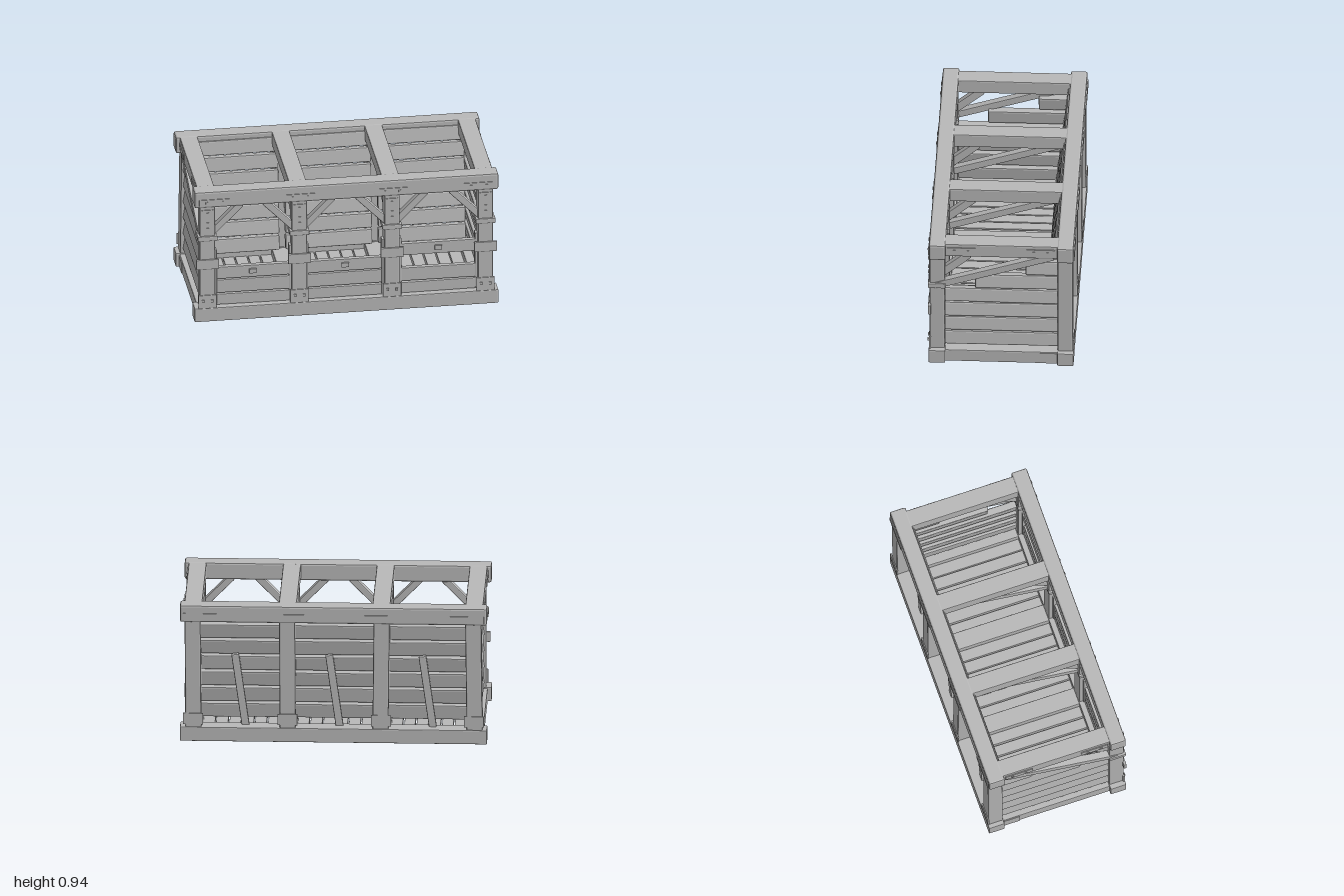
import * as THREE from 'three';
import { RoundedBoxGeometry } from 'three/addons/geometries/RoundedBoxGeometry.js';

export function createModel() {
  const model = new THREE.Group();
  model.name = 'woodenStall';
  const wood = new THREE.MeshStandardMaterial({ color: 0xb8b8b8 });
  wood.name = 'grey wood';

  // small seeded jitter in -1..1
  let seed = 7;
  const jitter = () => {
    seed = (seed * 16807) % 2147483647;
    return (seed / 2147483647) * 2 - 1;
  };

  const add = (name, geo, x, y, z) => {
    const mesh = new THREE.Mesh(geo, wood);
    mesh.name = name;
    mesh.position.set(x, y, z);
    model.add(mesh);
    return mesh;
  };
  // timber with chamfered edges
  const timber = (name, w, h, d, x, y, z, bevel = 0.008) => {
    const geo = new RoundedBoxGeometry(w, h, d, 1, Math.min(bevel, w / 3, h / 3, d / 3));
    geo.computeVertexNormals();
    return add(name, geo, x, y, z);
  };
  // timber given by its x, y and z ranges
  const span = (name, x0, x1, y0, y1, z0, z1, bevel) =>
    timber(name, x1 - x0, y1 - y0, z1 - z0, (x0 + x1) / 2, (y0 + y1) / 2, (z0 + z1) / 2, bevel);
  const plate = (name, w, h, d, x, y, z) => add(name, new THREE.BoxGeometry(w, h, d), x, y, z);
  // timber laid between two points
  const brace = (name, a, b, w, d) => {
    const from = new THREE.Vector3(...a), to = new THREE.Vector3(...b);
    const dir = to.clone().sub(from);
    const mid = from.add(to).multiplyScalar(0.5);
    const mesh = timber(name, w, dir.length(), d, mid.x, mid.y, mid.z, 0.006);
    mesh.quaternion.setFromUnitVectors(new THREE.Vector3(0, 1, 0), dir.normalize());
    return mesh;
  };

  const frames = [-0.915, -0.31, 0.3, 0.915];

  // long beams at the base and top
  span('frontBaseBeam', -1, 1, 0, 0.097, 0.362, 0.47, 0.006);
  span('backBaseBeam', -1, 1, 0, 0.097, -0.475, -0.368, 0.006);
  span('frontTopBeam', -1, 1, 0.82, 0.935, 0.36, 0.468, 0.012);
  span('backTopBeam', -1, 1, 0.82, 0.935, -0.475, -0.366, 0.012);

  frames.forEach((x, i) => {
    const end = i === 0 || i === 3;

    // cross beams and posts
    span('baseCrossBeam', x - 0.06, x + 0.06, 0, 0.09, -0.38, 0.37);
    span('topCrossBeam', x - 0.058, x + 0.058, 0.836, 0.932, -0.38, 0.37);
    span('frontPost', x - 0.05, x + 0.05, 0.09, 0.83, 0.364, 0.464);
    const back = span('backPost', x - 0.052, x + 0.052, 0.09, 0.83, -0.47, -0.37);
    back.rotation.z = jitter() * 0.012;

    // front collars, straps and foot
    span('postCollar', x - 0.065, x + 0.065, 0.581, 0.617, 0.36, 0.475, 0.006);
    span('postStrap', x - 0.075, x + 0.075, 0.378, 0.448, 0.455, 0.474, 0.004);
    span('postFoot', x - 0.06, x + 0.06, 0.095, 0.19, 0.455, 0.469, 0.003);
    for (const s of [-1, 1]) {
      if (!end || s * x < 0) {
        // cleats that hold the front boards, and knee braces
        span('boardCleat', x + s * 0.055 - 0.01, x + s * 0.055 + 0.01, 0.11, 0.5, 0.39, 0.44, 0.003);
        brace('frontKneeBrace', [x + s * 0.035, 0.63, 0.42], [x + s * 0.225, 0.825, 0.42], 0.045, 0.05);
      }
      plate('footBolt', 0.016, 0.016, 0.012, x + s * 0.03, 0.15, 0.472);
    }
    plate('upperPostPlate', 0.08, 0.17, 0.008, x, 0.72, 0.466);
    for (const y of [0.67, 0.71, 0.78]) plate('upperPostBolt', 0.016, 0.016, 0.012, x, y, 0.471);

    // plates joining the top beams to the frames
    const px = THREE.MathUtils.clamp(x, -0.87, 0.87);
    plate('frontBeamPlate', 0.2, 0.045, 0.008, px, 0.858, 0.469);
    plate('backBeamPlate', 0.22, 0.05, 0.009, px, 0.858, -0.476);
    plate('backFootPlate', 0.13, 0.075, 0.009, x, 0.155, -0.472);
    for (const s of [-1, 1]) plate('beamBolt', 0.016, 0.016, 0.012, px + s * 0.05, 0.858, 0.472);

    // sloping brace across the depth, and a short knee brace
    const bx = end ? Math.sign(x) * 0.945 : x;
    brace('sideDiagonal', [bx, 0.59, 0.44], [bx, 0.845, -0.34], 0.05, 0.05);
    brace('depthKneeBrace', [x, 0.67, 0.39], [x, 0.825, 0.21], 0.045, 0.055);
  });

  // side wall boards, stepped under the diagonal, bottoms kicked slightly outward
  const pitch = 0.113;
  for (const s of [-1, 1]) {
    const starts = [0.368, 0.368, 0.368, 0.368, 0.17, -0.16];
    starts.forEach((front, k) => {
      const len = front + 0.375;
      const board = timber('sideBoard', 0.05, 0.1, len, s * 0.922, 0.168 + k * pitch, (front - 0.375) / 2, 0.01);
      board.rotation.set(jitter() * 0.008, 0, s * (0.15 + jitter() * 0.04));
    });

    // bolted plates on the end faces
    for (const z of [0.258, -0.26]) {
      plate('sideBeamPlate', 0.008, 0.046, 0.185, s * 0.975, 0.885, z);
      for (const dz of [-0.045, 0.045]) plate('sideBeamBolt', 0.012, 0.015, 0.015, s * 0.979, 0.885, z + dz);
    }
    plate('sideBasePlate', 0.008, 0.078, 0.105, s * 0.976, 0.045, -0.31);
  }

  for (let bay = 0; bay < 3; bay++) {
    const x0 = frames[bay] + 0.05, x1 = frames[bay + 1] - 0.05;
    const mid = (x0 + x1) / 2, width = x1 - x0;

    // back wall boards, the whole wall leaning out toward the top
    for (let k = 0; k < 7; k++) {
      const board = timber('backBoard', width + 0.06, 0.1, 0.05, mid, 0.168 + k * pitch, -0.302 - k * 0.012, 0.008);
      board.rotation.set(-0.16 + jitter() * 0.04, 0, jitter() * 0.006);
    }
    brace('backBatten', [mid - 0.035, 0.08, -0.395], [mid + 0.035, 0.58, -0.395], 0.05, 0.035);

    // low front wall; the top board nearest the left end hangs higher
    const topY = bay === 2 ? 0.412 : 0.328;
    for (const [y, h] of [[0.137, 0.076], [0.231, 0.094], [topY, 0.085]]) {
      const board = timber('frontBoard', width + 0.02, h, 0.035, mid, y, 0.415, 0.005);
      board.rotation.z = jitter() * 0.005;
    }
    plate('frontBoardBolt', 0.048, 0.03, 0.02, mid, topY + 0.005, 0.437);

    // floor planks with narrow gaps
    const count = 6, step = (width - 0.01) / count;
    for (let k = 0; k < count; k++) {
      const w = step - 0.008 + jitter() * 0.003;
      timber('floorPlank', w, 0.04, 0.75, x0 + 0.005 + (k + 0.5) * step, 0.026, -0.005, 0.004);
    }
  }

  return model;
}
